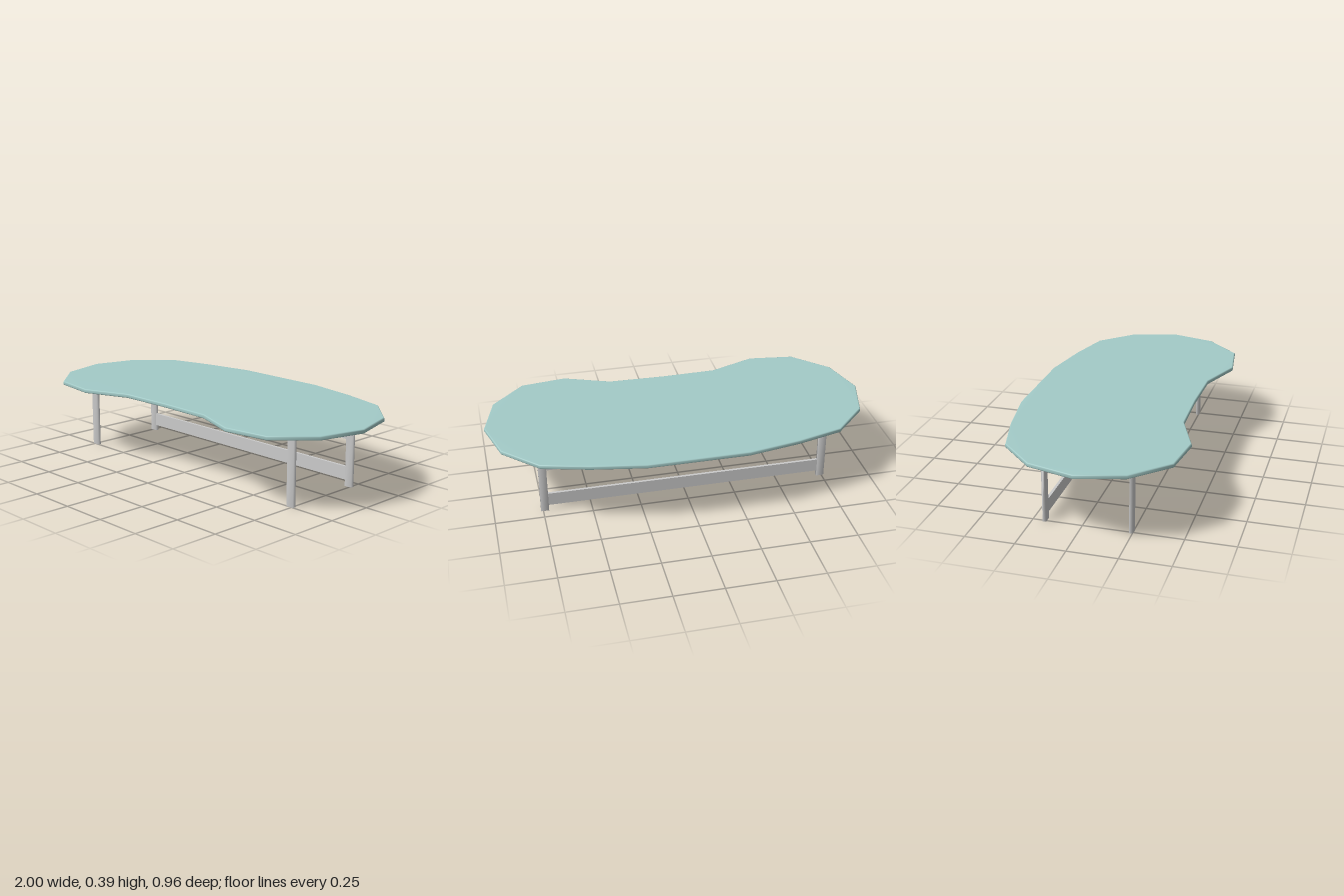
import * as THREE from 'three';
import { mergeVertices } from 'three/addons/utils/BufferGeometryUtils.js';

// Weld coincident vertices so shading flows across every edge
function weld(geometry) {
  geometry.deleteAttribute('normal');
  geometry.deleteAttribute('uv');
  const welded = mergeVertices(geometry, 1e-4);
  welded.computeVertexNormals();
  return welded;
}

function add(parent, name, geometry, material) {
  const mesh = new THREE.Mesh(geometry, material);
  mesh.name = name;
  parent.add(mesh);
  return mesh;
}

const toShape = (points) => new THREE.Shape(points.map(([x, y]) => new THREE.Vector2(x, y)));

export function createModel() {
  const table = new THREE.Group();
  table.name = 'coffeeTable';
  const glass = new THREE.MeshStandardMaterial({ color: 0xa3cbc8 });
  const metal = new THREE.MeshStandardMaterial({ color: 0xcccccc });

  // Kidney-shaped top: half outline (x, z) from back to front, mirrored
  const half = [
    [0.257, -0.482], [0.53, -0.433], [0.765, -0.37], [0.936, -0.198], [1, 0.037],
    [0.936, 0.273], [0.765, 0.445], [0.53, 0.476], [0.29, 0.385],
  ];
  const mirrored = half.map(([x, z]) => [-x, z]).reverse();
  const outline = [[0, -0.482], ...half, [0, 0.378], ...mirrored].map(([x, z]) => [x, -z]).reverse();
  const bevel = 0.006;
  const top = new THREE.ExtrudeGeometry(toShape(outline), {
    depth: 0.01, bevelThickness: bevel, bevelSize: bevel, bevelOffset: -bevel, bevelSegments: 2,
  });
  top.rotateX(-Math.PI / 2).translate(0, 0.37 + bevel, 0);
  add(table, 'tableTop', weld(top), glass);

  // Bent flat-bar leg frames: profile (z, y) with chamfered corners
  const frontZ = 0.253, backZ = -0.197, bar = 0.018, width = 0.041;
  const profile = [
    [frontZ, 0], [frontZ, 0.347], [frontZ - 0.018, 0.366],
    [backZ + 0.018, 0.366], [backZ, 0.347], [backZ, 0],
    [backZ + bar, 0], [backZ + bar, 0.338], [backZ + 0.033, 0.353],
    [frontZ - 0.033, 0.353], [frontZ - bar, 0.338], [frontZ - bar, 0],
  ].map(([z, y]) => [-z, y]);
  for (const side of [-1, 1]) {
    const leg = new THREE.ExtrudeGeometry(toShape(profile), { depth: width, bevelEnabled: false });
    leg.translate(0, 0, -width / 2).rotateY(Math.PI / 2);
    const mesh = add(table, side > 0 ? 'leftLegFrame' : 'rightLegFrame', weld(leg), metal);
    mesh.position.x = side * 0.741;
  }

  // Two rails joining the back legs
  for (const [name, y] of [['upperRail', 0.278], ['lowerRail', 0.067]]) {
    const rail = add(table, name, new THREE.BoxGeometry(1.442, 0.069, 0.014), metal);
    rail.position.set(0, y, backZ + bar / 2);
  }
  return table;
}
